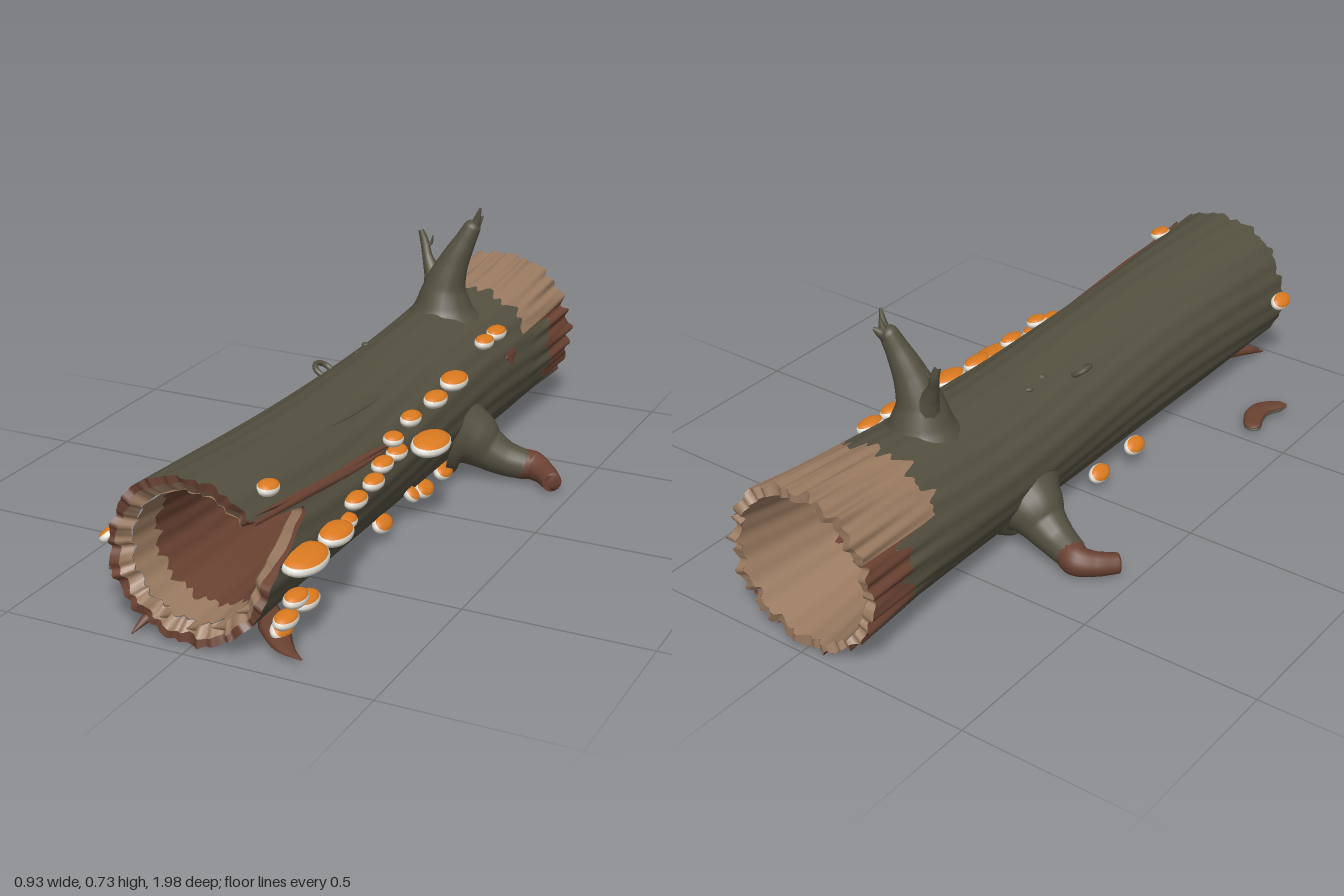
import * as THREE from 'three';
import { mergeVertices } from 'three/addons/utils/BufferGeometryUtils.js';

const { sin, cos, PI, max, min, abs } = Math;
const mat = (name, color, side = THREE.FrontSide) => {
  const m = new THREE.MeshStandardMaterial({ color, side });
  m.name = name;
  return m;
};

// Log cross-section rules (a = angle around the axis, z = along it)
const baseR = z => 0.2 + (z > 0 ? 0.016 : 0.026) * z * z;
const axisY = z => baseR(z) + 0.007;
const bark = (a, z) => {
  const frayed = max(0, (-z - 0.68) / 0.32);
  return baseR(z) + 0.003 * sin(5 * a + 3 * z) + 0.0015 * sin(23 * a + 2 * sin(4 * z))
    + frayed * (0.006 * sin(27 * a) + 0.004 * sin(41 * a + 5 * z));
};
const jag = a => 0.011 * sin(13 * a + 1) + 0.009 * sin(29 * a) + 0.005 * sin(47 * a);
// Front edge with the V-shaped split on the left side
const frontZ = a => {
  const v = a > 0.45 ? (0.66 - a) / 0.21 : (a + 0.15) / 0.6;
  return 0.965 + 0.6 * jag(a) - 0.25 * max(0, v);
};
const backZ = a => -0.98 - 0.7 * jag(a);
// Where the green bark stops: high on top, low at the sides, nearly the end below
const greenZ = a => {
  const s = sin(a);
  const edge = s > 0.42 ? -0.69 : s > -0.5 ? -0.83 : -0.94;
  return edge + 1.6 * jag(a * 1);
};
const innerR = z => z < -0.6 ? 0.147 + 0.055 * (-z - 0.6) / 0.4 : 0.147 + 0.022 * max(0, (z - 0.7) / 0.27);

// Grid surface in log coordinates: f(u, v) gives [angle, z, radius]
function surface(nu, nv, f) {
  const pos = [], idx = [];
  for (let j = 0; j <= nv; j++) for (let i = 0; i <= nu; i++) {
    const [a, z, r] = f(i / nu, j / nv);
    pos.push(r * cos(a), axisY(z) + r * sin(a), z);
  }
  for (let j = 0; j < nv; j++) for (let i = 0; i < nu; i++) {
    const p = j * (nu + 1) + i, q = p + nu + 1;
    idx.push(p, p + 1, q + 1, p, q + 1, q);
  }
  const g = new THREE.BufferGeometry();
  g.setAttribute('position', new THREE.Float32BufferAttribute(pos, 3));
  g.setIndex(idx);
  const m = mergeVertices(g, 1e-5);
  m.computeVertexNormals();
  return m;
}
const lerp = (a, b, t) => a + (b - a) * t;

// Tapering limb through points [x, y, z, radius]; flat squashes it vertically
function limb(pts, sides = 14, flat = 1) {
  const curve = new THREE.CatmullRomCurve3(pts.map(p => new THREE.Vector3(p[0], p[1], p[2])));
  const n = pts.length * 6;
  const g = new THREE.TubeGeometry(curve, n, 1, sides);
  const P = g.attributes.position, v = new THREE.Vector3();
  for (let i = 0; i <= n; i++) {
    const c = curve.getPointAt(i / n), t = curve.getUtoTmapping(i / n) * (pts.length - 1);
    const k = min(pts.length - 2, Math.floor(t)), r = lerp(pts[k][3], pts[k + 1][3], t - k);
    for (let j = 0; j <= sides; j++) {
      const id = i * (sides + 1) + j;
      v.fromBufferAttribute(P, id).sub(c).multiplyScalar(r);
      P.setXYZ(id, c.x + v.x, c.y + v.y * flat, c.z + v.z);
    }
  }
  g.deleteAttribute('uv');
  g.deleteAttribute('normal');
  const m = mergeVertices(g, 1e-5);
  m.computeVertexNormals();
  return m;
}

export function createModel() {
  const green = mat('mossy bark', 0x545040);
  const tan = mat('bare wood', 0x9a7a60, THREE.DoubleSide);
  const brown = mat('inner bark', 0x6a4232, THREE.DoubleSide);
  const orange = mat('mushroom orange', 0xdb7a20);
  const white = mat('mushroom white', 0xe6e2d8);
  const root = new THREE.Group();
  root.name = 'hollowLog';
  const add = (name, geo, m, parent = root) => {
    const mesh = new THREE.Mesh(geo, m);
    mesh.name = name;
    parent.add(mesh);
    return mesh;
  };
  const full = u => -PI + 2 * PI * u;

  // Outer bark
  add('bark', surface(180, 60, (u, v) => {
    const a = full(u), z = lerp(greenZ(a), frontZ(a), v);
    return [a, z, bark(a, z)];
  }), green);
  // Stripped back end: bare wood on top, brown on sides and below
  const band = (a0, a1, n) => surface(n, 16, (u, v) => {
    const a = lerp(a0, a1, u), z = lerp(backZ(a), greenZ(a), v);
    return [a, z, bark(a, z)];
  });
  add('bareBackTop', band(0.44, PI - 0.44, 110), tan);
  add('brownBackSides', band(PI - 0.44, 2 * PI + 0.44, 170), brown);

  // Front rim: bark edge, then wood, then a sloping wood mouth
  const ring = (rim0, rim1, d0, d1) => surface(180, 4, (u, v) => {
    const a = full(u), z = frontZ(a);
    return [a, z - lerp(d0, d1, v), lerp(rim0(a, z), rim1(a, z), v)];
  });
  const edge = (a, z) => 0.194 + 0.003 * sin(9 * a) + 0.003 * sin(17 * a);
  add('frontBarkRim', ring(bark, edge, 0, 0.004), brown);
  add('frontWoodRim', ring(edge, (a, z) => innerR(z), 0.004, 0.03), tan);
  // Hollow interior
  const inside = (z0, z1) => surface(120, 12, (u, v) => {
    const a = full(u), z = lerp(z0(a), z1(a), v);
    return [a, z, innerR(z) + 0.0015 * sin(19 * a)];
  });
  const deepFront = a => min(0.86, frontZ(a) - 0.035) - 0.02 + jag(a), deepBack = a => -0.7 + jag(a);
  add('frontHollow', inside(a => frontZ(a) - 0.03, deepFront), tan);
  add('middleHollow', inside(deepFront, deepBack), brown);
  add('backHollow', inside(deepBack, backZ), tan);
  add('backRim', surface(180, 3, (u, v) => {
    const a = full(u), z = backZ(a);
    return [a, z, lerp(innerR(z), bark(a, z), v)];
  }), tan);

  // Long split with lifted bark lip, and bare patches
  const patch = (name, m, a0, z0, a1, z1, w, lift) => add(name, surface(8, 24, (u, v) => {
    const z = lerp(z0, z1, v), a = lerp(a0, a1, v) + (u - 0.5) * w * sin(PI * min(1, v + 0.04)) + 0.02 * sin(9 * v);
    return [a, z, bark(a, z) + lift * (0.3 + sin(PI * u))];
  }), m);
  patch('longSplit', brown, 0.38, 0.2, 0.68, 0.97, 0.13, 0.006);
  patch('sidePatch', brown, 0.3, -0.59, 0.3, -0.52, 0.22, 0.003);
  add('splitLip', limb([[0.192, 0.285, 0.22, 0.001], [0.19, 0.3, 0.45, 0.007], [0.18, 0.325, 0.7, 0.01], [0.172, 0.345, 0.95, 0.006]], 8), brown);
  add('barkRidge', limb([[0.11, 0.37, 0.15, 0.001], [0.1, 0.383, 0.4, 0.006], [0.06, 0.405, 0.65, 0.007], [0.02, 0.42, 0.9, 0.002]], 8), green);

  // Knot on top
  const knot = add('knot', new THREE.TorusGeometry(0.028, 0.008, 8, 24), green);
  knot.position.set(-0.125, 0.368, 0.015);
  knot.rotation.set(-PI / 2, 0.6, 0, 'ZXY');
  for (let i = 0; i < 5; i++) {
    const bump = add('barkBump', new THREE.SphereGeometry(0.012, 10, 8), green);
    bump.position.set(-0.09 + 0.012 * (i % 3), 0.388, -0.4 + 0.075 * i);
    bump.scale.y = 0.6;
  }

  // Side branches resting on the ground
  for (const s of [1, -1]) {
    const m = pts => pts.map(p => [s * p[0], p[1], p[2], p[3]]);
    add('sideBranch', limb(m([[0.15, 0.125, -0.28, 0.125], [0.19, 0.115, -0.29, 0.088], [0.235, 0.085, -0.3, 0.062],
      [0.285, 0.06, -0.31, 0.05], [0.34, 0.045, -0.325, 0.043]]), 18), green);
    add('sideBranchEnd', limb(m([[0.325, 0.048, -0.32, 0.044], [0.36, 0.042, -0.335, 0.042], [0.4, 0.036, -0.315, 0.034],
      [0.43, 0.032, -0.285, 0.03], [0.447, 0.03, -0.265, 0.027], [0.442, 0.03, -0.268, 0]]), 14), brown);
  }

  // Upright forked branch
  add('upperBranch', limb([[0, 0.36, -0.51, 0.13], [0, 0.42, -0.51, 0.085], [0.005, 0.48, -0.51, 0.062],
    [0.028, 0.55, -0.515, 0.045], [0.06, 0.62, -0.525, 0.031], [0.083, 0.67, -0.535, 0.023], [0.088, 0.68, -0.537, 0]], 18), green);
  for (const [x, y, z] of [[0.104, 0.722, -0.53], [0.09, 0.705, -0.55], [0.095, 0.685, -0.572]])
    add('branchSplinter', limb([[0.068, 0.635, -0.53, 0.016], [lerp(0.075, x, 0.5), 0.67, lerp(-0.535, z, 0.6), 0.013], [x, y, z, 0.003]], 8), green);
  add('twig', limb([[-0.02, 0.45, -0.52, 0.045], [-0.045, 0.51, -0.53, 0.025], [-0.066, 0.555, -0.54, 0.015],
    [-0.08, 0.595, -0.55, 0.013], [-0.092, 0.628, -0.55, 0.008]], 10), green);
  add('twigOffshoot', limb([[-0.076, 0.58, -0.545, 0.007], [-0.06, 0.59, -0.55, 0.005], [-0.053, 0.615, -0.55, 0.002]], 7), green);

  // Splinters at the broken front and a fallen chip of bark
  add('frontSplinter', limb([[0.06, 0.02, 0.7, 0.02], [0.15, 0.018, 0.82, 0.04], [0.22, 0.016, 0.9, 0.025], [0.28, 0.013, 0.93, 0.003]], 8, 0.3), brown);
  add('frontSplinter', limb([[-0.11, 0.05, 0.82, 0.015], [-0.14, 0.03, 0.92, 0.014], [-0.155, 0.005, 0.975, 0.002]], 8), brown);
  for (const a of [-2, -1.55, -1.1, -0.6]) {
    const at = (r, z) => [r * cos(a), axisY(0.95) + r * sin(a), z];
    add('mouthSplinter', limb([[...at(0.185, 0.84), 0.014], [...at(0.18, 0.93), 0.014], [...at(0.165, 0.98), 0.002]], 6), tan);
  }
  const chip = y => limb([[-0.375, y, 0.53, 0.002], [-0.37, y, 0.545, 0.024], [-0.345, y, 0.6, 0.03],
    [-0.342, y, 0.645, 0.031], [-0.375, y, 0.695, 0.022], [-0.392, y, 0.71, 0.002]], 12, 0.3);
  add('fallenChipTop', chip(0.021), brown);
  add('fallenChipUnderside', chip(0.013), green);

  // Shelf mushrooms
  const lathe = p => new THREE.LatheGeometry(p.map(([x, y]) => new THREE.Vector2(x, y)), 24);
  const under = lathe([[0, -1.3], [0.28, -0.65], [0.8, -0.55], [0.97, -0.25], [1, 0], [0.96, 0.3], [0.86, 0.45]]);
  const top = lathe([[0.94, 0.26], [0.88, 0.48], [0.65, 0.68], [0.35, 0.76], [0, 0.78]]);
  const mushrooms = [
    [0.235, 0.215, 0.82, 0.085], [0.235, 0.215, 0.66, 0.065], [0.215, 0.205, 0.56, 0.032], [0.215, 0.24, 0.51, 0.045],
    [0.215, 0.25, 0.41, 0.042], [0.212, 0.275, 0.35, 0.042], [0.2, 0.31, 0.26, 0.034], [0.21, 0.275, 0.26, 0.04],
    [0.185, 0.315, 0.12, 0.042], [0.24, 0.25, 0.11, 0.08], [0.185, 0.315, -0.04, 0.05], [0.183, 0.325, -0.17, 0.06],
    [0.165, 0.355, -0.43, 0.042], [0.165, 0.355, -0.52, 0.045], [0.145, 0.385, 0.83, 0.036],
    [0.225, 0.125, 0.85, 0.045], [0.23, 0.098, 0.91, 0.045], [0.225, 0.098, 0.8, 0.05],
    [0.15, 0.045, 0.22, 0.042], [0.15, 0.04, -0.05, 0.042], [0.15, 0.045, -0.18, 0.042], [0.18, 0.03, 0.84, 0.042],
    [0.165, 0.075, 0.07, 0.024], [-0.235, 0.23, 0.92, 0.042], [-0.175, 0.045, 0.04, 0.04], [-0.185, 0.06, 0.2, 0.04],
  ];
  for (const [x, y, z, r] of mushrooms) {
    const g = new THREE.Group();
    g.name = 'mushroom';
    add('mushroomUnderside', under, white, g);
    add('mushroomCap', top, orange, g);
    g.position.set(x, y, z);
    g.rotation.z = -Math.sign(x) * (y < 0.08 ? 0.75 : x < 0 ? 0.7 : 0.15);
    g.scale.set(max(0.026, r * 0.6), 0.016 + r * 0.15, r);
    root.add(g);
  }
  return root;
}
